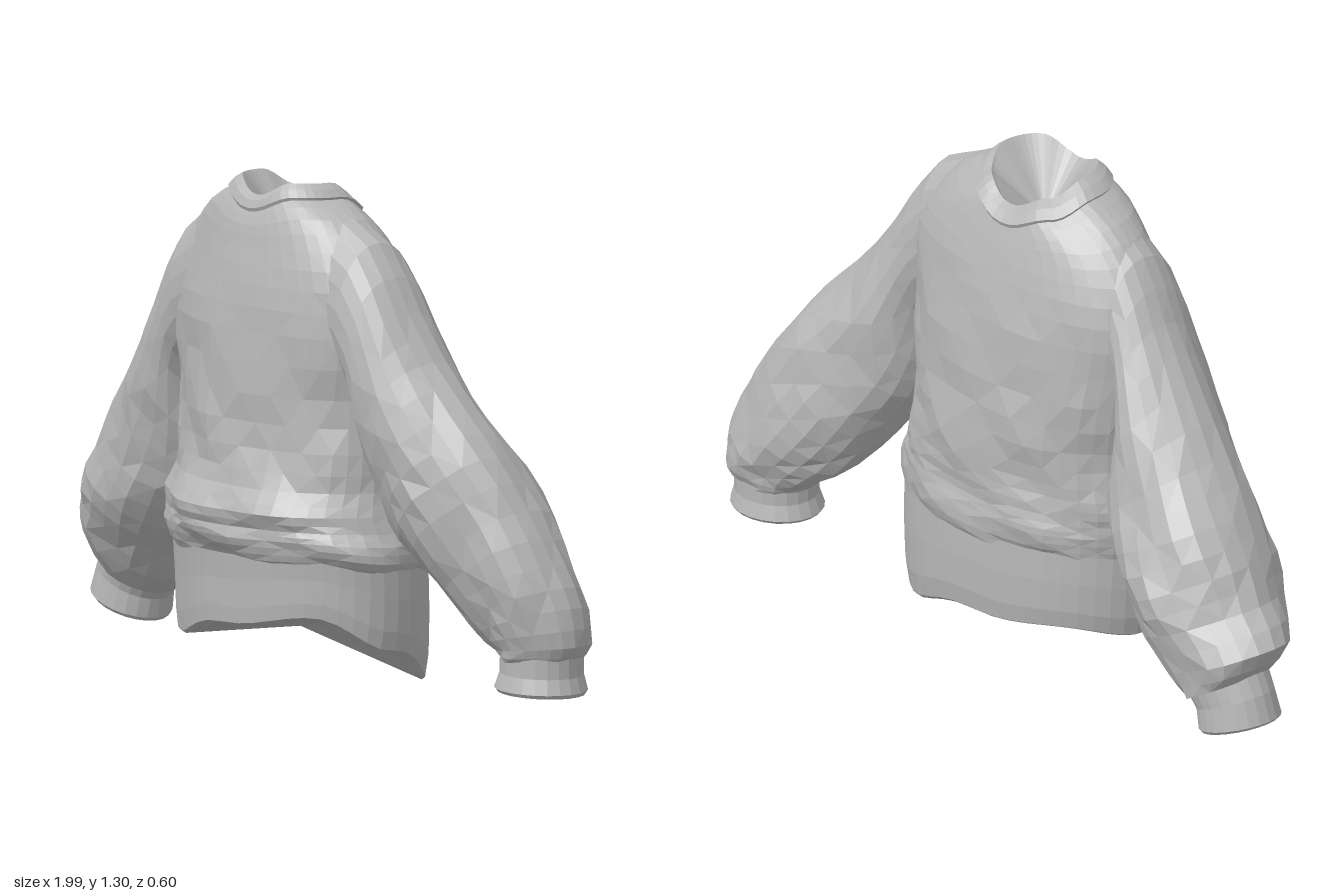
import * as THREE from 'three';

const fabric = new THREE.MeshStandardMaterial({ color: 0xb6b6b6, flatShading: true });
fabric.name = 'grey fabric';

// Skin a list of closed rings of points; optional fan caps at either end
function loft(name, rings, { flip = false, startCap, endCap } = {}) {
  const n = rings[0].length, pos = [], idx = [];
  const tri = (a, b, c) => (flip ? idx.push(a, c, b) : idx.push(a, b, c));
  rings.forEach(r => r.forEach(p => pos.push(p.x, p.y, p.z)));
  for (let i = 0; i < rings.length - 1; i++) for (let j = 0; j < n; j++) {
    const a = i * n + j, b = i * n + (j + 1) % n;
    if ((i + j) % 2) { tri(a, a + n, b); tri(b, a + n, b + n); }
    else { tri(a, a + n, b + n); tri(a, b + n, b); }
  }
  const cap = (row, centre, end) => {
    const c = pos.length / 3;
    pos.push(centre.x, centre.y, centre.z);
    for (let j = 0; j < n; j++) {
      const a = row * n + j, b = row * n + (j + 1) % n;
      end ? tri(c, b, a) : tri(c, a, b);
    }
  };
  if (startCap) cap(0, startCap, false);
  if (endCap) cap(rings.length - 1, endCap, true);
  const g = new THREE.BufferGeometry();
  g.setAttribute('position', new THREE.Float32BufferAttribute(pos, 3));
  g.setIndex(idx);
  g.computeVertexNormals();
  const m = new THREE.Mesh(g, fabric);
  m.name = name;
  return m;
}

// Smoothly subdivide rows of key values
function refine(keys, steps) {
  const out = [];
  for (let i = 0; i < keys.length - 1; i++) for (let s = 0; s < steps; s++) {
    const t = s / steps, p = k => keys[Math.min(Math.max(i + k, 0), keys.length - 1)];
    out.push(keys[0].map((_, c) => {
      const a = p(-1)[c], b = p(0)[c], d = p(1)[c], e = p(2)[c];
      return b + 0.5 * t * (d - a + t * (2 * a - 5 * b + 4 * d - e + t * (3 * (b - d) + e - a)));
    }));
  }
  out.push(keys[keys.length - 1]);
  return out;
}

const centroid = ring => ring.reduce((s, p) => s.add(p), new THREE.Vector3()).divideScalar(ring.length);
const hash = (i, j) => { const s = Math.sin(i * 127.1 + j * 311.7) * 43758.5453; return s - Math.floor(s) - 0.5; };

// Evenly spaced values around a ring, eased between neighbours
function around(table, a) {
  const n = table.length, u = ((a / (Math.PI * 2)) * n + n) % n, i = Math.floor(u) % n;
  const t = (1 - Math.cos((u - Math.floor(u)) * Math.PI)) / 2;
  return table[i] * (1 - t) + table[(i + 1) % n] * t;
}
const hemLine = [0.1, 0.19, 0.15, 0.08, 0.08, 0.11, 0.08, 0];
const neckLine = [0.033, 0.035, -0.005, 0.035, 0.033, -0.012, -0.055, -0.012];

// One horizontal ring: [y, centre x, half width, front z, back z, hem weight, neck weight]
function bodyRing([y, cx, hx, zf, zb, hem, neck], row, wrinkle) {
  const n = 44, ring = [];
  for (let j = 0; j < n; j++) {
    const a = (j / n) * Math.PI * 2, c = Math.cos(a), s = Math.sin(a);
    const w = 1 + wrinkle * (Math.sin(3 * a + 21 * y) + Math.sin(7 * a - 27 * y + 1) + 1.3 * hash(row, j));
    const sx = Math.sign(c) * Math.abs(c) ** 0.92, sz = Math.sign(s) * Math.abs(s) ** 0.92;
    // the cloth hangs flatter on the right of the front
    const flat = c < 0 && s > 0 ? 1 - 0.13 * (1 - neck) * Math.sin(2 * a) ** 2 : 1;
    ring.push(new THREE.Vector3(cx + hx * sx * (1 + (w - 1) * 0.4),
      y + hem * around(hemLine, a) + neck * around(neckLine, a),
      (zf + zb) / 2 + ((zf - zb) / 2) * sz * w * flat));
  }
  return ring;
}

// One sleeve ring: [outer x, outer y, inner x, inner y, front z, back z]
function sleeveRing([ox, oy, ix, iy, zf, zb], side, row, wrinkle) {
  const n = 22, ring = [];
  for (let j = 0; j < n; j++) {
    const a = (j / n) * Math.PI * 2, c = Math.cos(a);
    const w = 1 + wrinkle * (Math.sin(2 * a + row * 0.9) + Math.sin(5 * a - row * 0.7 + side) + 1.4 * hash(row + 50 * side, j));
    const k = c * (1 + (w - 1) * 0.5);
    ring.push(new THREE.Vector3(side * ((ox + ix) / 2 + k * (ox - ix) / 2),
      (oy + iy) / 2 + k * (oy - iy) / 2,
      (zf + zb) / 2 + Math.sin(a) * w * (zf - zb) / 2));
  }
  return ring;
}

function sleeve(name, side, keys, cuffKeys) {
  const g = new THREE.Group();
  g.name = name;
  const flip = side > 0;
  const rows = refine(keys, 2).map((k, i) => sleeveRing(k, side, i, 0.04 * Math.min(1, i / 8)));
  g.add(loft(name + 'Arm', rows, { flip }));
  // ribbed cuff closed by a dish
  const cuff = cuffKeys.map((k, i) => sleeveRing(k, side, i, 0));
  const end = centroid(cuff[cuff.length - 1]);
  end.y += 0.045;
  g.add(loft(name + 'Cuff', cuff, { flip, endCap: end }));
  return g;
}

export function createModel() {
  const model = new THREE.Group();
  model.name = 'sweater';

  // Hem band
  const hem = [
    [0, 0.02, 0.4, 0.235, -0.245, 1, 0],
    [0.008, 0.02, 0.41, 0.247, -0.253, 0.98, 0],
    [0.07, 0.02, 0.42, 0.25, -0.26, 0.85, 0],
    [0.18, 0.02, 0.425, 0.25, -0.26, 0.6, 0],
    [0.3, 0.02, 0.428, 0.255, -0.255, 0.25, 0],
  ].map((k, i) => bodyRing(k, i, 0));
  const hemCentre = centroid(hem[0]);
  hemCentre.y += 0.02;
  model.add(loft('hemBand', hem, { startCap: hemCentre }));

  // Torso with bunched folds above the hem
  const torso = refine([
    [0.275, 0.02, 0.42, 0.245, -0.25, 0.28, 0],
    [0.315, 0.025, 0.435, 0.265, -0.262, 0.22, 0],
    [0.37, 0.02, 0.435, 0.285, -0.266, 0.12, 0],
    [0.41, 0.015, 0.423, 0.283, -0.262, 0.05, 0],
    [0.46, 0.01, 0.415, 0.297, -0.263, 0, 0],
    [0.52, 0.01, 0.4, 0.262, -0.257, 0, 0],
    [0.62, 0.01, 0.395, 0.24, -0.253, 0, 0],
    [0.76, 0, 0.402, 0.228, -0.243, 0, 0],
    [0.92, 0, 0.425, 0.22, -0.22, 0, 0],
    [1.04, 0.01, 0.415, 0.2, -0.195, 0, 0],
    [1.13, 0.01, 0.355, 0.18, -0.172, 0, 0.3],
    [1.19, 0.01, 0.275, 0.166, -0.16, 0, 0.8],
    [1.228, 0.01, 0.185, 0.148, -0.15, 0, 1],
  ], 2);
  model.add(loft('torso', torso.map((k, i) =>
    bodyRing(k, i, 0.018 * THREE.MathUtils.clamp((1.15 - k[0]) * 2.2, 0, 1)))));

  // Collar band and dished neck opening
  const collar = [
    [1.215, 0.01, 0.185, 0.148, -0.15, 0, 1],
    [1.232, 0.01, 0.192, 0.155, -0.157, 0, 1],
    [1.252, 0.015, 0.17, 0.147, -0.136, 0, 1],
    [1.266, 0.02, 0.147, 0.132, -0.112, 0, 1],
    [1.258, 0.02, 0.14, 0.125, -0.105, 0, 1],
  ].map((k, i) => bodyRing(k, i, 0));
  model.add(loft('collar', collar, { endCap: new THREE.Vector3(0.02, 1.13, 0.01) }));

  // Sleeves: different slouch on each side
  model.add(sleeve('leftSleeve', 1, [
    [0.2, 1.245, 0.2, 0.82, 0.14, -0.1],
    [0.385, 1.17, 0.34, 0.78, 0.142, -0.115],
    [0.5, 1.0, 0.39, 0.7, 0.142, -0.135],
    [0.58, 0.88, 0.4, 0.58, 0.135, -0.17],
    [0.68, 0.76, 0.43, 0.48, 0.125, -0.205],
    [0.78, 0.65, 0.48, 0.39, 0.105, -0.24],
    [0.87, 0.52, 0.55, 0.28, 0.05, -0.267],
    [0.94, 0.38, 0.62, 0.215, 0.015, -0.282],
    [0.98, 0.27, 0.68, 0.17, -0.01, -0.292],
    [0.995, 0.17, 0.72, 0.14, -0.045, -0.275],
    [0.96, 0.125, 0.74, 0.12, -0.06, -0.26],
  ], [
    [0.97, 0.14, 0.735, 0.125, -0.055, -0.265],
    [0.97, 0.085, 0.735, 0.09, -0.055, -0.265],
    [0.982, 0.045, 0.72, 0.05, -0.043, -0.275],
    [0.976, 0.035, 0.726, 0.042, -0.05, -0.268],
  ]));
  model.add(sleeve('rightSleeve', -1, [
    [0.2, 1.245, 0.2, 0.82, 0.14, -0.1],
    [0.35, 1.15, 0.34, 0.78, 0.142, -0.115],
    [0.45, 1.0, 0.385, 0.7, 0.138, -0.145],
    [0.56, 0.86, 0.38, 0.57, 0.135, -0.19],
    [0.68, 0.7, 0.39, 0.47, 0.132, -0.235],
    [0.78, 0.58, 0.42, 0.39, 0.125, -0.27],
    [0.86, 0.48, 0.5, 0.29, 0.11, -0.285],
    [0.91, 0.385, 0.58, 0.22, 0.075, -0.285],
    [0.99, 0.3, 0.66, 0.145, 0.03, -0.28],
    [0.945, 0.215, 0.74, 0.095, -0.03, -0.26],
  ], [
    [0.945, 0.225, 0.745, 0.1, -0.045, -0.25],
    [0.975, 0.17, 0.765, 0.075, -0.05, -0.245],
    [0.998, 0.1, 0.775, 0.025, -0.043, -0.25],
    [0.99, 0.09, 0.782, 0.017, -0.05, -0.243],
  ]));
  return model;
}
